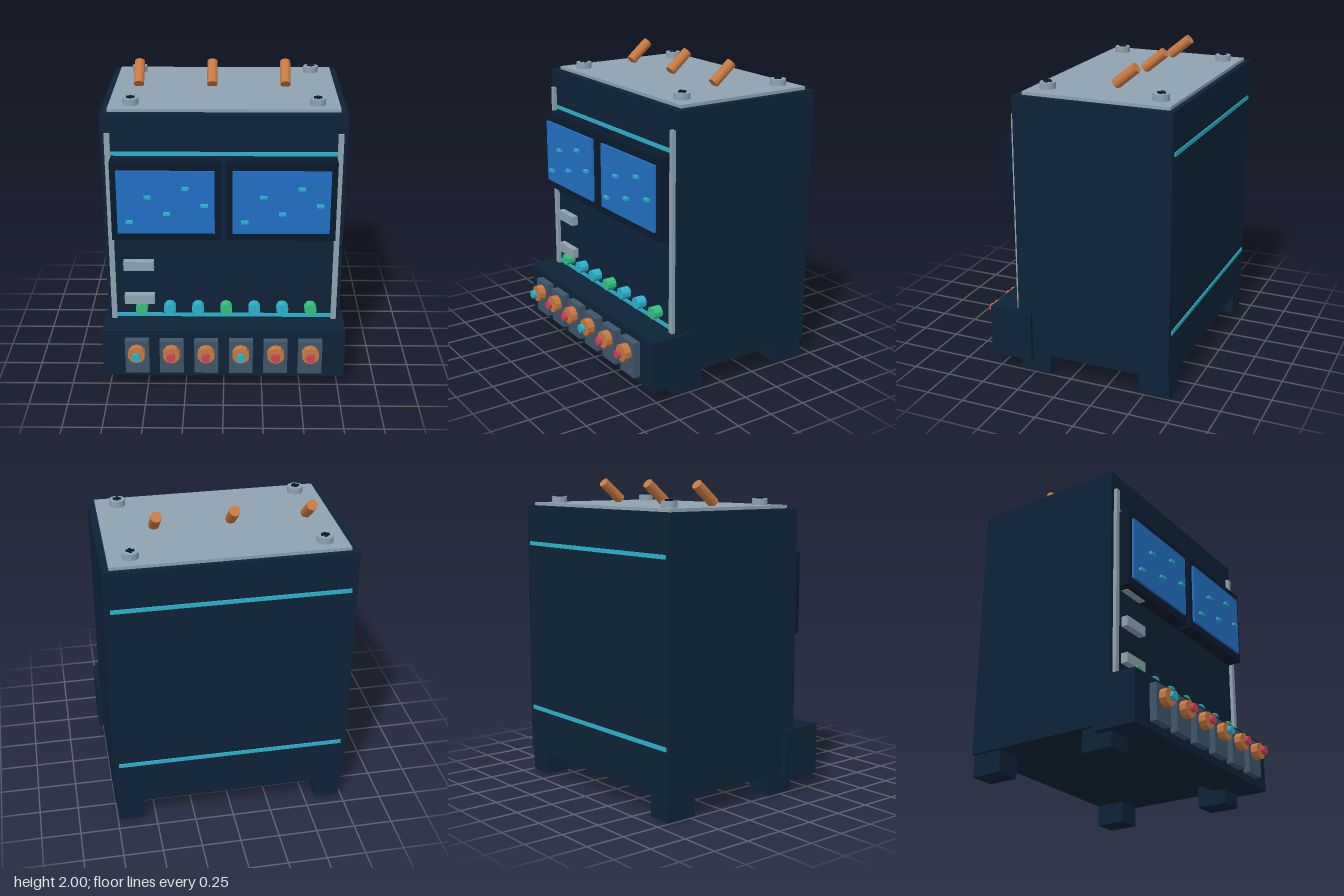
import * as THREE from 'three';

function mat(name, color, flat = true) {
  const m = new THREE.MeshStandardMaterial({ color, flatShading: flat });
  m.name = name;
  return m;
}

export function createModel() {
  const root = new THREE.Group();
  root.name = 'controlCabinet';

  const navy = mat('navy', 0x0d2337);
  const darkNavy = mat('darkNavy', 0x0a1a2b);
  const steel = mat('steel', 0x8fa3b0);
  const slate = mat('slate', 0x3f566b);
  const blue = mat('screenBlue', 0x2270c4);
  const teal = mat('teal', 0x2bb3cc);
  const copper = mat('copper', 0xc87840);
  const red = mat('red', 0xcc4455);
  const green = mat('green', 0x35c080);

  // Box given by its minimum and maximum on each axis
  function box(name, m, [x0, x1], [y0, y1], [z0, z1], parent = root) {
    const mesh = new THREE.Mesh(new THREE.BoxGeometry(x1 - x0, y1 - y0, z1 - z0), m);
    mesh.position.set((x0 + x1) / 2, (y0 + y1) / 2, (z0 + z1) / 2);
    mesh.name = name;
    parent.add(mesh);
    return mesh;
  }

  // Disc or knob whose axis points to the front
  function knob(name, m, r, x, y, z0, z1) {
    const geo = new THREE.CylinderGeometry(r, r, z1 - z0, 10).rotateX(Math.PI / 2);
    const mesh = new THREE.Mesh(geo, m);
    mesh.position.set(x, y, (z0 + z1) / 2);
    mesh.name = name;
    root.add(mesh);
  }

  // Cabinet, front console and top plate
  box('cabinet', navy, [-0.76, 0.76], [0.14, 1.825], [-0.665, 0.355]);
  box('console', navy, [-0.785, 0.785], [0.095, 0.425], [0.26, 0.545]);
  box('topPlate', steel, [-0.717, 0.717], [1.825, 1.845], [-0.632, 0.31]);

  for (const s of [-1, 1]) {
    const cx = s * 0.657;
    // Feet
    box('frontFoot', navy, [cx - 0.082, cx + 0.082], [0, 0.15], [0.15, 0.354]);
    box('backFoot', navy, [cx - 0.082, cx + 0.082], [0, 0.15], [-0.664, -0.46]);
    // Front rails
    const rx = s * 0.718;
    box('rail', steel, [rx - 0.017, rx + 0.017], [0.42, 1.705], [0.35, 0.378]);
    // Top plate screws with cross slots
    for (const z of [-0.525, 0.205]) {
      const x = s * 0.58;
      const head = new THREE.Mesh(new THREE.CylinderGeometry(0.05, 0.05, 0.042, 20), steel);
      head.position.set(x, 1.864, z);
      head.name = 'screwHead';
      root.add(head);
      box('screwSlot', darkNavy, [x - 0.025, x + 0.025], [1.88, 1.894], [z - 0.009, z + 0.009]);
      box('screwSlot', darkNavy, [x - 0.009, x + 0.009], [1.88, 1.893], [z - 0.025, z + 0.025]);
    }
  }

  // Accent strips on the front and back
  for (const y of [0.445, 1.572]) {
    box('frontStrip', teal, [-0.725, 0.725], [y - 0.013, y + 0.013], [0.352, 0.361]);
    box('backStrip', teal, [-0.725, 0.725], [y - 0.013, y + 0.013], [-0.672, -0.663]);
  }

  // Two framed screens with small marks
  const marks = [[-0.23, 1.16], [-0.115, 1.328], [0.003, 1.215], [0.12, 1.383], [0.237, 1.27]];
  for (const cx of [-0.36, 0.358]) {
    box('screenFrame', darkNavy, [cx - 0.343, cx + 0.343], [1.025, 1.547], [0.35, 0.445]);
    box('screen', blue, [cx - 0.304, cx + 0.304], [1.078, 1.494], [0.44, 0.46]);
    for (const [dx, y] of marks) {
      const x = cx + dx + 0.003;
      box('screenMark', teal, [x - 0.022, x + 0.022], [y - 0.009, y + 0.009], [0.455, 0.48]);
    }
  }

  // Louvres, the top one tucked under the screen
  for (const y of [0.575, 0.815, 1.053]) {
    box('louvre', steel, [-0.645, -0.45], [y - 0.032, y + 0.032], [0.35, 0.4]);
  }

  // Row of indicator lamps
  for (let i = 0; i < 7; i++) {
    knob('indicator', i % 3 === 0 ? green : teal, 0.04, -0.535 + i * 0.1833, 0.512, 0.35, 0.417);
  }

  // Console switches
  for (let i = 0; i < 6; i++) {
    const x = -0.558 + i * 0.2232;
    box('switchPlate', slate, [x - 0.077, x + 0.077], [0.143, 0.376], [0.54, 0.592]);
    knob('switchCollar', copper, 0.056, x, 0.297, 0.59, 0.638);
    knob('switchSpindle', copper, 0.01, x, 0.297, 0.63, 0.66);
    knob('switchButton', i % 3 === 0 ? teal : red, 0.028, x, 0.297, 0.65, 0.674);
  }

  // Slanted rods on top
  for (const x of [-0.558, -0.081, 0.395]) {
    const rod = new THREE.Mesh(new THREE.CylinderGeometry(0.034, 0.034, 0.178, 12), copper);
    rod.position.set(x, 1.92, -0.228);
    rod.rotation.x = -THREE.MathUtils.degToRad(50);
    rod.name = 'topRod';
    root.add(rod);
  }

  return root;
}
